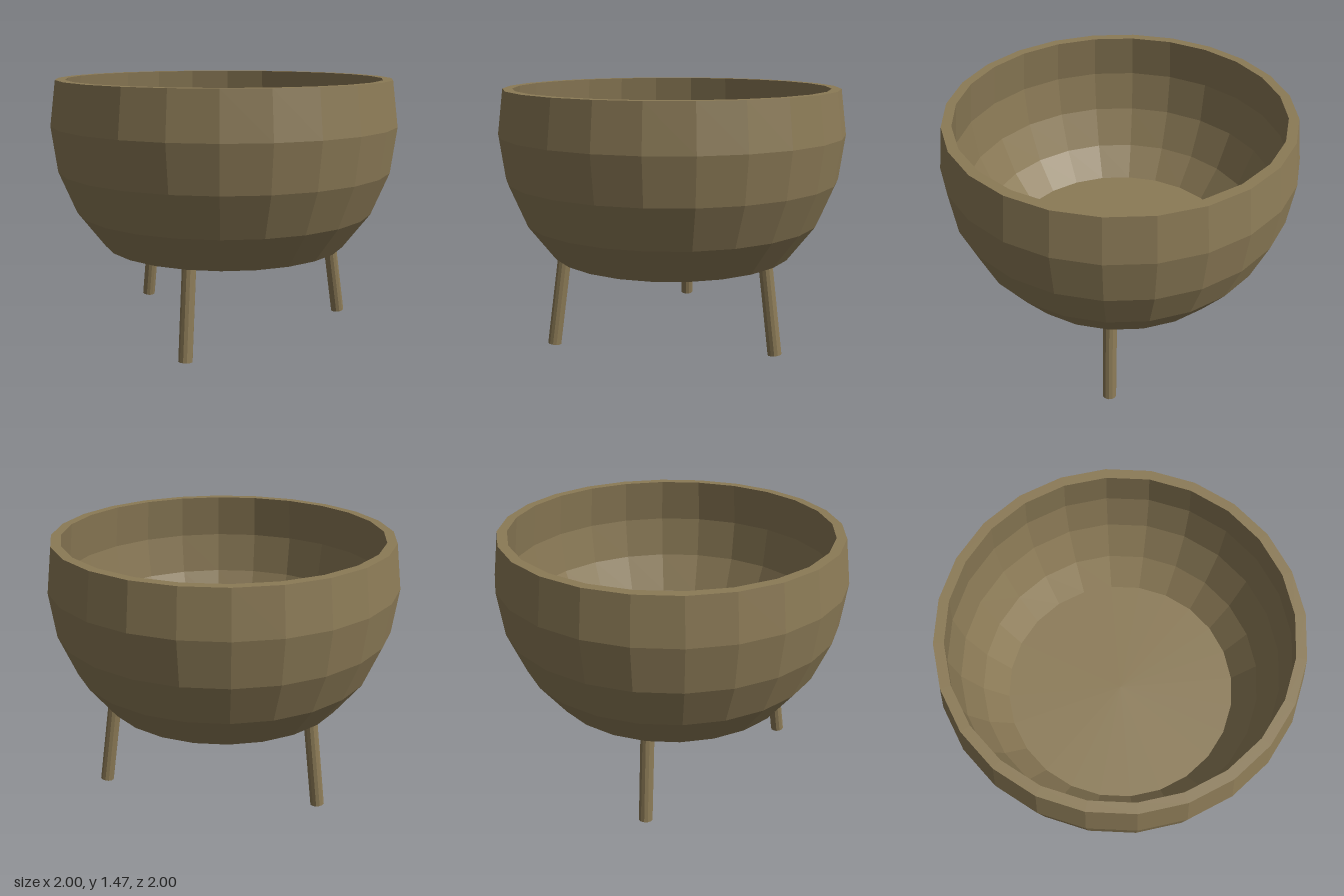
import * as THREE from 'three';

const material = new THREE.MeshStandardMaterial({ color: 0x8b7a56, flatShading: true });

// Points on a sphere of radius r, 15 degrees apart, from the base up to the rim
const CENTRE_Y = 1.21;
function arc(r, lowY) {
  const low = Math.asin((lowY - CENTRE_Y) / r);
  const angles = [low, -Math.PI / 6, -Math.PI / 12, 0];
  return angles.map((a) => new THREE.Vector2(r * Math.cos(a), CENTRE_Y + r * Math.sin(a)));
}

export function createModel() {
  const model = new THREE.Group();
  model.name = 'planterOnLegs';

  // Bowl: outer wall up, flat rim, inner wall down to the floor
  const rimY = 1.467;
  const profile = [
    new THREE.Vector2(0, 0.506),
    ...arc(1, 0.506),
    new THREE.Vector2(0.966, rimY),
    new THREE.Vector2(0.91, rimY),
    ...arc(0.94, 0.565).reverse(),
    new THREE.Vector2(0, 0.565),
  ];
  const bowl = new THREE.Mesh(new THREE.LatheGeometry(profile, 24), material);
  bowl.name = 'bowl';
  model.add(bowl);

  // Three splayed legs, one to the left and two to the right
  const top = new THREE.Vector3(0.663, 0.508, 0);
  const foot = new THREE.Vector3(0.735, 0.006, 0);
  const direction = top.clone().sub(foot);
  const legGeometry = new THREE.CylinderGeometry(0.039, 0.039, direction.length(), 12);
  for (let i = 0; i < 3; i++) {
    const pivot = new THREE.Group();
    pivot.name = 'leg' + (i + 1);
    pivot.rotation.y = (i * Math.PI * 2) / 3;
    const leg = new THREE.Mesh(legGeometry, material);
    leg.name = 'legPost';
    leg.position.copy(top).add(foot).multiplyScalar(0.5);
    leg.quaternion.setFromUnitVectors(new THREE.Vector3(0, 1, 0), direction.clone().normalize());
    pivot.add(leg);
    model.add(pivot);
  }
  return model;
}
